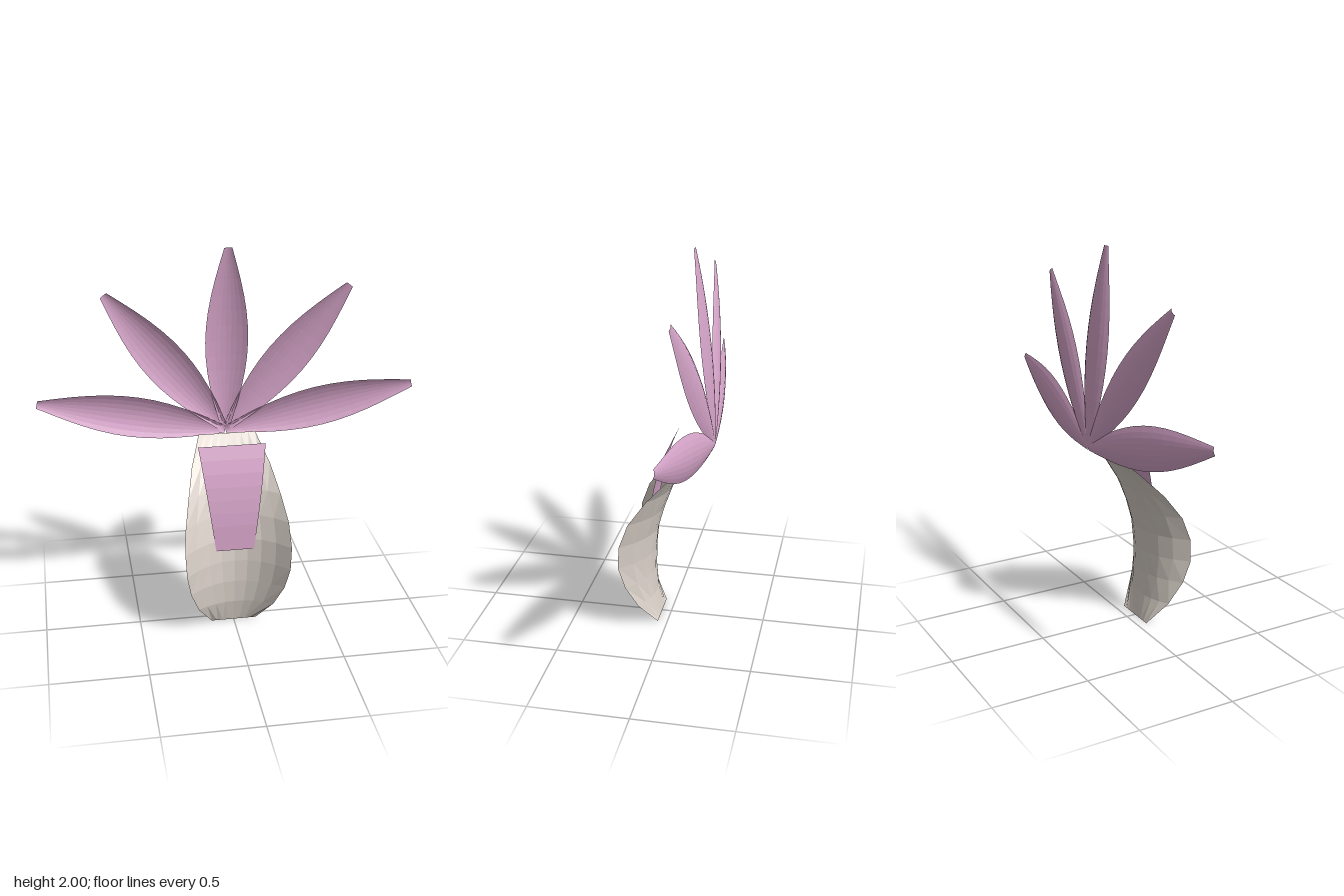
import * as THREE from 'three';

const pink = new THREE.MeshStandardMaterial({ color: 0xd8a6cb, side: THREE.DoubleSide, flatShading: true });
pink.name = 'petalPink';
const cream = new THREE.MeshStandardMaterial({ color: 0xdcd3cb, side: THREE.DoubleSide, flatShading: true });
cream.name = 'lipCream';

// Curved sheet: point(u, t, target) with u from -1 to 1 across and t from 0 to 1 along
function sheet(name, material, columns, rows, point) {
  const geometry = new THREE.PlaneGeometry(2, 1, columns, rows);
  const position = geometry.attributes.position;
  const p = new THREE.Vector3();
  for (let i = 0; i < position.count; i++) {
    point(position.getX(i), position.getY(i) + 0.5, p);
    position.setXYZ(i, p.x, p.y, p.z);
  }
  const flat = geometry.toNonIndexed();
  flat.computeVertexNormals();
  const mesh = new THREE.Mesh(flat, material);
  mesh.name = name;
  return mesh;
}

// Reads a value from an evenly or freely spaced list of [t, value...] rows
function sample(table, t, k) {
  let i = 1;
  while (i < table.length - 1 && t > table[i][0]) i++;
  const a = table[i - 1], b = table[i];
  return THREE.MathUtils.mapLinear(t, a[0], b[0], a[k], b[k]);
}

// Lip sections: height, half width, middle z, rim z
const lipSections = [
  [0, 0.12, 0.05, 0.05],
  [0.127, 0.2, 0.077, 0.137],
  [0.255, 0.247, 0.085, 0.195],
  [0.377, 0.27, 0.082, 0.226],
  [0.5, 0.276, 0.07, 0.22],
  [0.626, 0.267, 0.035, 0.174],
  [0.75, 0.24, -0.01, 0.085],
  [0.875, 0.205, -0.075, -0.035],
  [1, 0.15, -0.17, -0.17],
];

// Column plate: height, z
const plateCurve = [[0.45, 0.1], [0.6, 0.092], [0.7, 0.08], [0.8, 0.06], [0.9, 0.035], [1, -0.005]];

export function createModel() {
  const flower = new THREE.Group();
  flower.name = 'flower';

  // Five cupped petals fanned around the top of the lip
  [-76, -38, 0, 38, 76].forEach((angle, i) => {
    const petal = sheet('petal' + (i + 1), pink, 8, 12, (u, t, p) => {
      const halfWidth = 0.02 + 0.09 * Math.sin(Math.PI * t);
      const cup = 0.03 * u * u * halfWidth / 0.11;
      p.set(u * halfWidth, t, -0.227 + 0.108 * t * t + cup);
    });
    petal.position.y = 1;
    petal.rotation.z = THREE.MathUtils.degToRad(angle);
    flower.add(petal);
  });

  // Trough-shaped lip with its rims curling forward
  flower.add(sheet('lip', cream, 8, 8, (u, t, p) => {
    const y = lipSections[Math.round(t * 8)][0];
    const middle = sample(lipSections, y, 2), rim = sample(lipSections, y, 3);
    p.set(u * sample(lipSections, y, 1), y, middle + (rim - middle) * Math.pow(Math.abs(u), 2.1));
  }));

  // Tapered, bent plate in front of the lip
  flower.add(sheet('columnPlate', pink, 1, 8, (u, t, p) => {
    const y = 0.45 + 0.55 * t;
    p.set(u * (0.1 + 0.075 * t), y, sample(plateCurve, y, 1));
  }));

  return flower;
}
